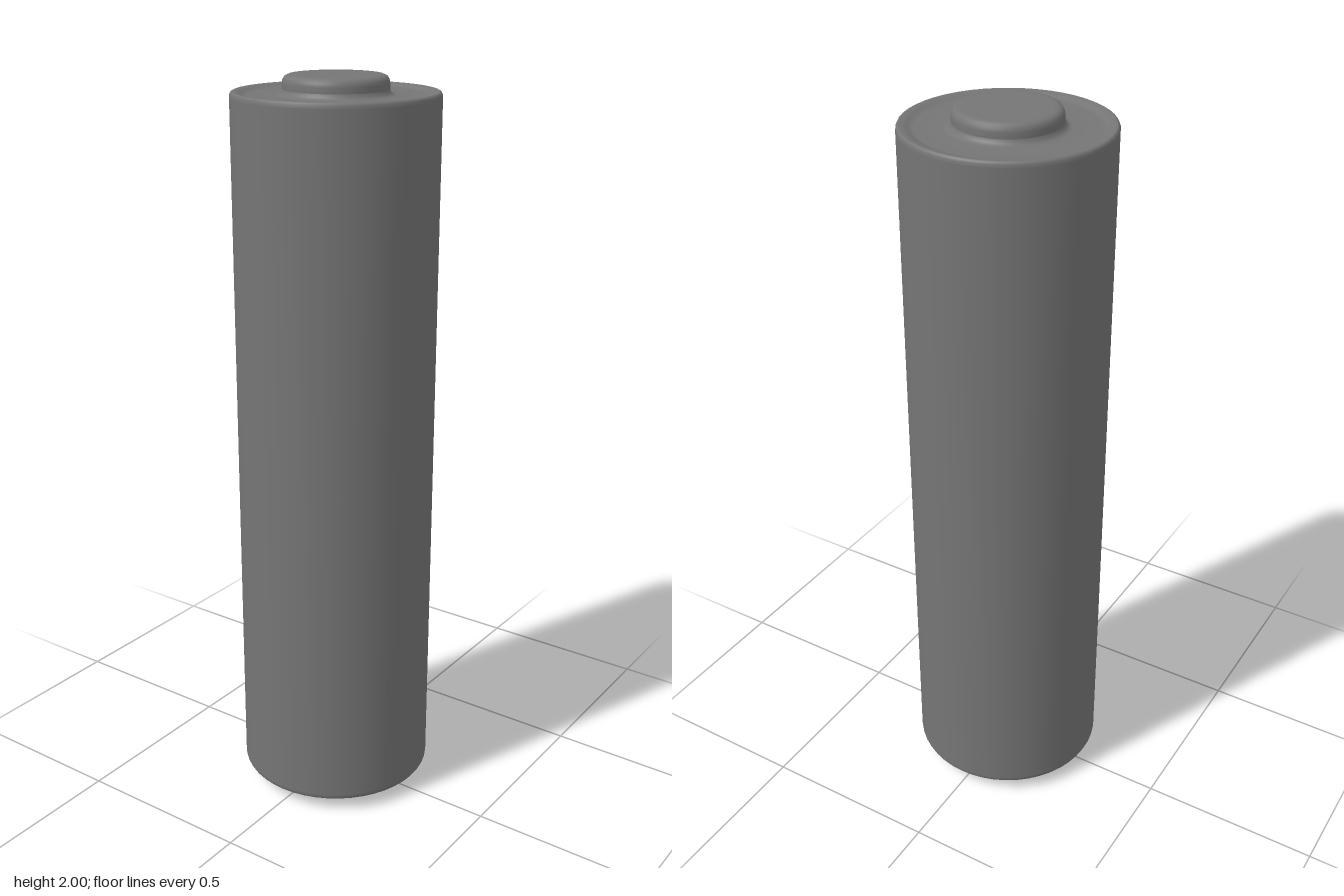
import * as THREE from 'three';

const SEGMENTS = 48;

export function createModel() {
  const model = new THREE.Group();
  model.name = 'batteryCell';

  const grey = new THREE.MeshStandardMaterial({ color: 0x757575 });
  grey.name = 'dark grey';

  // Revolves a profile of [radius, height] points about the y axis
  const lathe = (name, points, parent) => {
    const profile = points.map(([r, y]) => new THREE.Vector2(r, y));
    const mesh = new THREE.Mesh(new THREE.LatheGeometry(profile, SEGMENTS), grey);
    mesh.name = name;
    parent.add(mesh);
  };

  // Each end is built upward from the middle of the cell
  const addEnd = (prefix, flipped) => {
    const end = new THREE.Group();
    end.name = prefix + 'End';

    // Rolled lip of the casing
    lathe(prefix + 'Rim', [
      [0.268, 0.946], [0.2675, 0.953], [0.265, 0.958], [0.261, 0.96],
    ], end);

    // Shallow recessed cap, curving up into the terminal
    lathe(prefix + 'Cap', [
      [0.261, 0.96], [0.25, 0.959], [0.242, 0.956], [0.235, 0.952], [0.225, 0.95],
      [0.156, 0.95], [0.146, 0.952], [0.139, 0.957], [0.136, 0.965],
    ], end);

    // Contact button with a rounded edge
    lathe(prefix + 'Terminal', [
      [0.136, 0.965], [0.136, 0.98], [0.134, 0.989], [0.129, 0.996], [0.12, 1], [0.11, 1], [0, 1],
    ], end);

    end.position.y = 1;
    if (flipped) end.rotation.x = Math.PI;
    model.add(end);
  };

  // Long cylindrical casing
  lathe('casing', [[0.268, 0.054], [0.268, 1.946]], model);

  addEnd('top', false);
  addEnd('bottom', true);

  return model;
}
